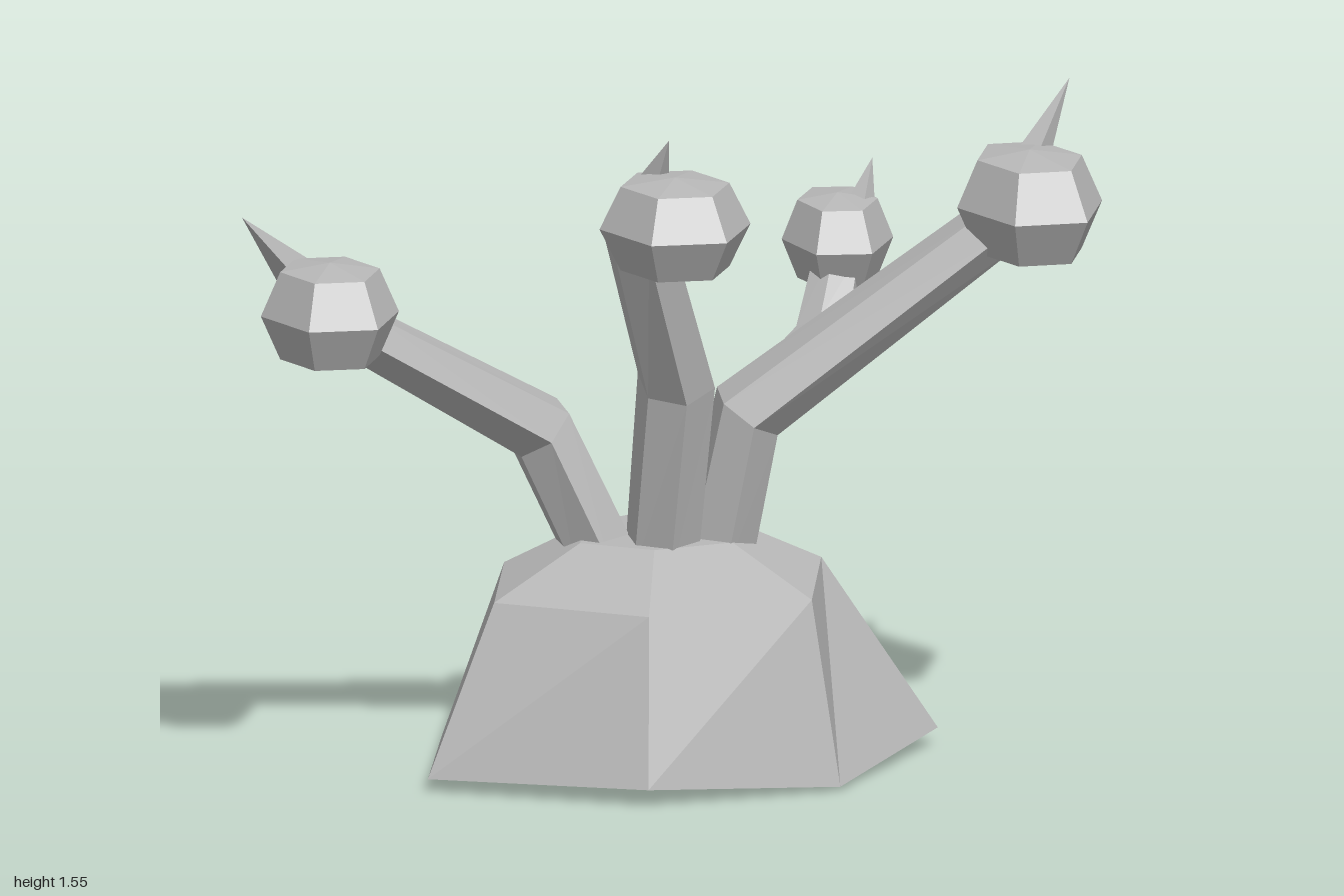
import * as THREE from 'three';

const stone = new THREE.MeshStandardMaterial({ color: 0xb8b8b8, flatShading: true });
stone.name = 'pale grey';

const vec = (p) => new THREE.Vector3(...p);

// Joins rings of points (anticlockwise seen from the next ring) and closes both ends
function loft(rings) {
  const n = rings[0].length;
  const positions = [];
  const tri = (...pts) => pts.forEach((p) => positions.push(p.x, p.y, p.z));
  for (let i = 0; i < rings.length - 1; i++) {
    for (let j = 0; j < n; j++) {
      const k = (j + 1) % n;
      const [a, b, c, d] = [rings[i][j], rings[i][k], rings[i + 1][k], rings[i + 1][j]];
      tri(a, b, c);
      tri(a, c, d);
    }
  }
  const centre = (ring) => ring.reduce((s, p) => s.add(p), new THREE.Vector3()).divideScalar(n);
  const first = rings[0];
  const last = rings[rings.length - 1];
  const [c0, c1] = [centre(first), centre(last)];
  for (let j = 0; j < n; j++) {
    const k = (j + 1) % n;
    tri(c0, first[k], first[j]);
    tri(c1, last[j], last[k]);
  }
  const geo = new THREE.BufferGeometry();
  geo.setAttribute('position', new THREE.Float32BufferAttribute(positions, 3));
  geo.computeVertexNormals();
  return geo;
}

// Bent six-sided arm; each point carries its two half widths
function armGeometry(points, hint) {
  const path = points.map((p) => vec(p.slice(0, 3)));
  const rings = path.map((p, i) => {
    const t = new THREE.Vector3();
    if (i > 0) t.add(p.clone().sub(path[i - 1]).normalize());
    if (i < path.length - 1) t.add(path[i + 1].clone().sub(p).normalize());
    t.normalize();
    const u = vec(hint).projectOnPlane(t).normalize();
    const v = t.clone().cross(u);
    const [ru, rv] = points[i].slice(3);
    return Array.from({ length: 6 }, (_, k) => {
      const a = (k * Math.PI) / 3;
      return p.clone().addScaledVector(u, ru * Math.cos(a)).addScaledVector(v, rv * Math.sin(a));
    });
  });
  return loft(rings);
}

// Faceted six-sided bulb
function bulbGeometry() {
  const profile = [[0, -1], [0.72, -0.85], [1, 0], [0.72, 0.85], [0, 1]];
  return new THREE.LatheGeometry(profile.map((p) => new THREE.Vector2(...p)), 6, Math.PI / 6);
}

// Thin four-sided thorn from base to tip
function thorn(base, tip) {
  const dir = vec(tip).sub(vec(base));
  const geo = new THREE.ConeGeometry(0.045, dir.length(), 4);
  geo.translate(0, dir.length() / 2, 0);
  const mesh = new THREE.Mesh(geo, stone);
  mesh.position.set(...base);
  mesh.quaternion.setFromUnitVectors(new THREE.Vector3(0, 1, 0), dir.normalize());
  return mesh;
}

const stalks = [
  {
    name: 'left',
    path: [[0.12, 0.46, 0.05, 0.14, 0.085], [0.19, 0.81, 0.08, 0.13, 0.085], [0.77, 1.25, 0.15, 0.105, 0.065]],
    bulb: [0.825, 1.295, 0.19], size: [0.17, 0.128, 0.25], yaw: 0.06,
    thorn: [[0.84, 1.36, 0.09], [0.945, 1.55, 0.03]],
  },
  {
    name: 'front',
    path: [[-0.01, 0.46, 0.08, 0.12, 0.085], [0.01, 0.91, 0.17, 0.12, 0.09], [-0.11, 1.3, 0.34, 0.1, 0.08]],
    bulb: [-0.045, 1.34, 0.47], size: [0.175, 0.115, 0.22], yaw: 0,
    thorn: [[-0.08, 1.4, 0.34], [-0.05, 1.53, 0.42]],
  },
  {
    name: 'right',
    path: [[-0.13, 0.46, -0.02, 0.14, 0.085], [-0.27, 0.76, -0.05, 0.125, 0.085], [-0.74, 1.05, 0.1, 0.11, 0.065]],
    bulb: [-0.81, 1.12, 0.27], size: [0.16, 0.12, 0.21], yaw: 0,
    thorn: [[-0.87, 1.19, 0.13], [-1.0, 1.335, 0.19]],
  },
  {
    name: 'back', hint: [0, 1, 0],
    path: [[0.25, 0.82, 0.03, 0.065, 0.08], [0.43, 0.89, -0.29, 0.055, 0.07], [0.49, 1.04, -0.43, 0.055, 0.06]],
    bulb: [0.497, 1.075, -0.488], size: [0.128, 0.107, 0.2], yaw: -0.08,
    thorn: [[0.54, 1.12, -0.47], [0.585, 1.25, -0.53]],
  },
];

export function createModel() {
  const model = new THREE.Group();
  model.name = 'thornyPlant';
  const add = (parent, name, mesh) => {
    mesh.name = name;
    parent.add(mesh);
    return mesh;
  };

  // Uneven seven-sided mound with a low cap
  const foot = [
    [-0.59, 0.03, 0.31], [-0.12, 0.04, 0.55], [0.34, 0.01, 0.46], [0.64, 0.04, 0.03],
    [0.38, 0.05, -0.45], [-0.13, 0, -0.55], [-0.47, 0.01, -0.2],
  ].map(vec);
  const shoulder = [
    [-0.42, 0.415, 0.215], [-0.1, 0.42, 0.44], [0.285, 0.435, 0.395], [0.37, 0.45, 0.03],
    [0.23, 0.44, -0.26], [-0.09, 0.41, -0.36], [-0.33, 0.42, -0.17],
  ].map(vec);
  const crown = shoulder.map((p) => new THREE.Vector3(p.x * 0.48, p.y * 0.4 + 0.355, p.z * 0.48));
  add(model, 'moundBase', new THREE.Mesh(loft([foot, shoulder, crown]), stone));

  // Stalks, each with an arm, a bulb and a thorn
  for (const s of stalks) {
    const stalk = add(model, s.name + 'Stalk', new THREE.Group());
    add(stalk, s.name + 'Arm', new THREE.Mesh(armGeometry(s.path, s.hint ?? [0, 0, 1]), stone));
    const bulb = add(stalk, s.name + 'Bulb', new THREE.Mesh(bulbGeometry(), stone));
    bulb.position.set(...s.bulb);
    bulb.scale.set(...s.size);
    bulb.rotation.y = s.yaw;
    add(stalk, s.name + 'Thorn', thorn(...s.thorn));
  }
  return model;
}
